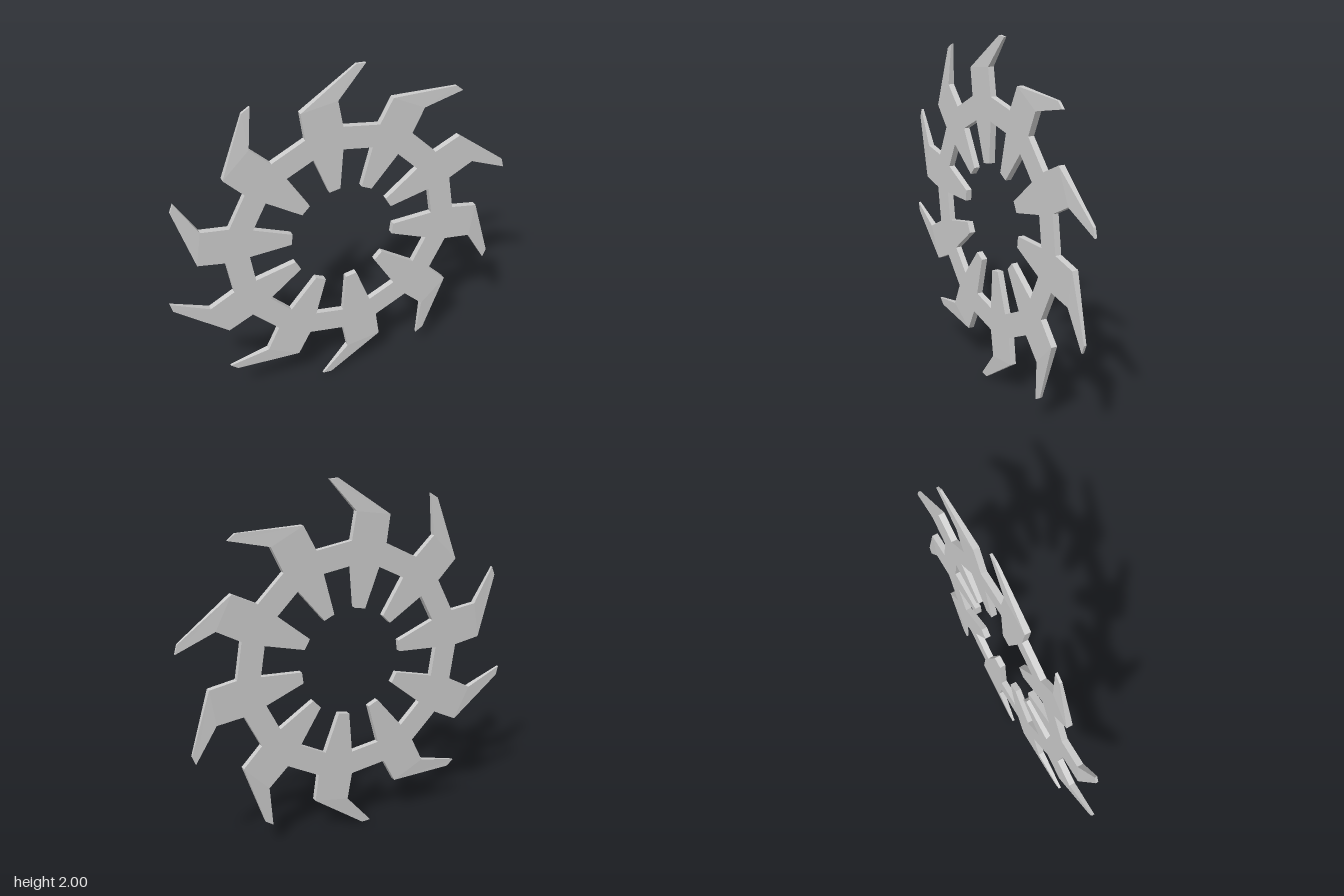
import * as THREE from 'three';

const COUNT = 10;
const T = 0.017; // half thickness of the plate

// One tooth as rows from blade tip to inner tooth end: [left x, y, right x, y, half thickness]
const ROWS = [
  [0.072, 1.0, 0.125, 0.997, 0.007], // blade tip
  [-0.23, 0.79, -0.028, 0.822, T],   // blade elbow
  [-0.208, 0.636, 0.0, 0.669, T],    // outer edge of ring
  [-0.165, 0.51, 0.0, 0.536, T],     // inner edge of ring
  [-0.08, 0.29, -0.017, 0.302, T],   // inner tooth end
];

// Corner turned clockwise about the hub by step k
function corner(x, y, z, k) {
  const a = (-k * Math.PI * 2) / COUNT;
  return [x * Math.cos(a) - y * Math.sin(a), x * Math.sin(a) + y * Math.cos(a) + 1, z];
}

function build(addFaces) {
  const pos = [];
  addFaces((a, b, c, d) => pos.push(...a, ...b, ...c, ...a, ...c, ...d));
  const g = new THREE.BufferGeometry();
  g.setAttribute('position', new THREE.Float32BufferAttribute(pos, 3));
  g.computeVertexNormals();
  return g;
}

const left = (i, s, k) => corner(ROWS[i][0], ROWS[i][1], s * ROWS[i][4], k);
const right = (i, s, k) => corner(ROWS[i][2], ROWS[i][3], s * ROWS[i][4], k);

// Hooked blade outside, tapered tooth inside
function toothGeometry(k) {
  return build((quad) => {
    const last = ROWS.length - 1;
    for (let i = 0; i < last; i++) {
      const j = i + 1;
      quad(left(i, 1, k), left(j, 1, k), right(j, 1, k), right(i, 1, k));
      quad(right(i, -1, k), right(j, -1, k), left(j, -1, k), left(i, -1, k));
      if (i === 2) continue; // sides are open where the ring links join
      quad(left(i, -1, k), left(j, -1, k), left(j, 1, k), left(i, 1, k));
      quad(right(i, 1, k), right(j, 1, k), right(j, -1, k), right(i, -1, k));
    }
    quad(left(0, -1, k), left(0, 1, k), right(0, 1, k), right(0, -1, k));
    quad(left(last, 1, k), left(last, -1, k), right(last, -1, k), right(last, 1, k));
  });
}

// Straight link from this tooth to the next one
function linkGeometry(k) {
  return build((quad) => {
    const n = k + 1;
    quad(right(2, 1, k), right(3, 1, k), left(3, 1, n), left(2, 1, n));
    quad(left(2, -1, n), left(3, -1, n), right(3, -1, k), right(2, -1, k));
    quad(right(2, -1, k), right(2, 1, k), left(2, 1, n), left(2, -1, n));
    quad(right(3, 1, k), right(3, -1, k), left(3, -1, n), left(3, 1, n));
  });
}

export function createModel() {
  const group = new THREE.Group();
  group.name = 'bladedRing';
  const material = new THREE.MeshStandardMaterial({ color: 0xcccccc, flatShading: true });
  for (let k = 0; k < COUNT; k++) {
    const tooth = new THREE.Mesh(toothGeometry(k), material);
    tooth.name = `blade${k + 1}`;
    const link = new THREE.Mesh(linkGeometry(k), material);
    link.name = `ringLink${k + 1}`;
    group.add(tooth, link);
  }
  return group;
}
